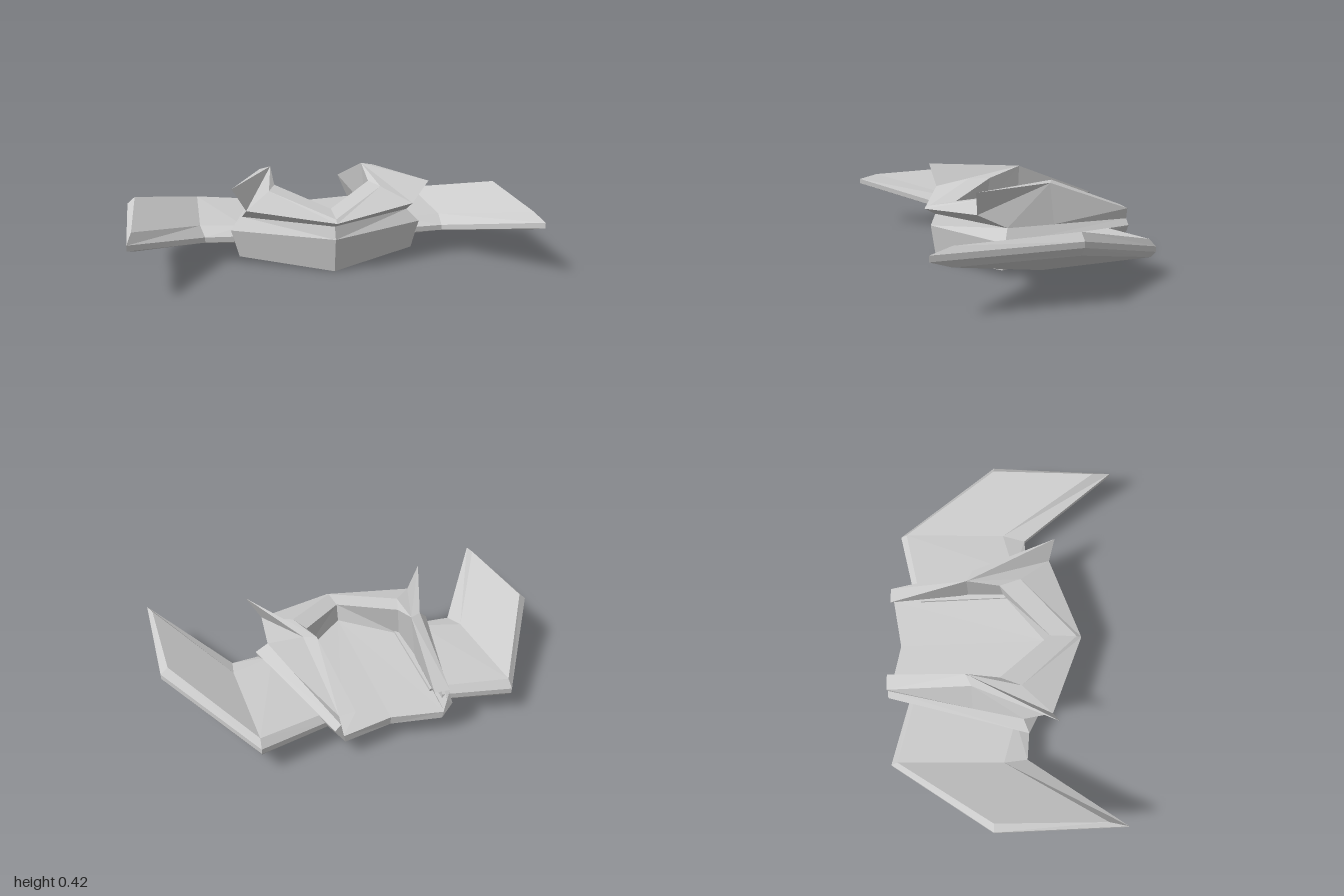
import * as THREE from 'three';

const material = new THREE.MeshStandardMaterial({ color: 0xcccccc, flatShading: true, side: THREE.DoubleSide });

// Mesh from flat convex polygons, each split into a fan; side = -1 mirrors it across x
function plates(name, polygons, side) {
  const pos = [];
  for (const p of polygons) {
    for (let i = 1; i < p.length - 1; i++) {
      const tri = side > 0 ? [p[0], p[i], p[i + 1]] : [p[0], p[i + 1], p[i]];
      for (const [x, y, z] of tri) pos.push(x * side, y, z);
    }
  }
  const geo = new THREE.BufferGeometry();
  geo.setAttribute('position', new THREE.Float32BufferAttribute(pos, 3));
  geo.computeVertexNormals();
  const mesh = new THREE.Mesh(geo, material);
  mesh.name = name;
  return mesh;
}

// Quads between neighbouring rows of points
function skin(rows, closed = false) {
  const quads = [];
  for (let r = 0; r < rows.length - 1; r++) {
    const n = rows[r].length;
    for (let i = 0; i < (closed ? n : n - 1); i++) {
      const j = (i + 1) % n;
      quads.push([rows[r][i], rows[r][j], rows[r + 1][j], rows[r + 1][i]]);
    }
  }
  return quads;
}

function hullHalf(side) {
  // Bottom edge, widest edge and bevel edge, from nose to side corner to rear
  const bottom = [[0, 0, 0.35], [0.45, 0.03, 0.13], [0.25, 0.09, -0.6]];
  const wide = [[0, 0.17, 0.375], [0.49, 0.17, 0.13], [0.3, 0.17, -0.6]];
  const bevel = [[0, 0.23, 0.35], [0.43, 0.23, 0.1], [0.27, 0.2, -0.6]];
  const keelRear = [0, 0.085, -0.55], deckRear = [0, 0.125, -0.55], deckCorner = [0.26, 0.125, -0.6];
  const deck = [[0, 0.2, 0.22], [0.27, 0.19, 0], [0.28, 0.17, -0.19], deckCorner, deckRear];
  const group = new THREE.Group();
  group.name = 'hullHalf';
  group.add(
    plates('hullShell', [
      ...skin([bottom, wide, bevel]),
      [keelRear, bottom[2], bottom[1], bottom[0]],
      [keelRear, deckRear, deckCorner, bottom[2]],
      [bottom[2], deckCorner, bevel[2], wide[2]],
    ], side),
    plates('deck', [deck], side)
  );

  // Overhanging lip above the nose
  const lipEdge = [[0, 0.26, 0.406], [0.42, 0.3, 0.245]];
  const lipFold = [[0, 0.275, 0.38], [0.29, 0.355, 0.09]];
  const lipInner = [[0, 0.29, 0.24], [0.25, 0.36, -0.02]];
  group.add(plates('noseLip', skin([bevel.slice(0, 2), lipEdge, lipFold, lipInner, deck.slice(0, 2)]), side));

  // Flared fin, hollow and open at the rear
  const tip = [0.49, 0.42, 0.27];
  const outer = [[0.28, 0.255, -0.6], [0.31, 0.415, -0.16]];
  const inner = [[0.2, 0.26, -0.6], [0.25, 0.42, -0.19]];
  const base = [0.372, 0.219, -0.16];
  group.add(plates('fin', [
    ...skin([outer, inner]),
    [inner[1], outer[1], tip],
    [inner[0], inner[1], deck[2], deckCorner],
    [inner[1], lipInner[1], deck[1], deck[2]],
    [inner[1], lipFold[1], lipInner[1]],
    [inner[1], tip, lipEdge[1], lipFold[1]],
    [outer[0], bevel[2], base, outer[1]],
    [outer[1], base, bevel[1]],
    [outer[1], bevel[1], lipEdge[1], tip],
  ], side));

  // Low rail along the foot of the fin
  const rail = new THREE.Mesh(new THREE.BoxGeometry(0.03, 0.03, 0.5), material);
  rail.name = 'deckRail';
  rail.position.set(0.265 * side, 0.165, -0.2);
  rail.rotation.x = -0.1;
  group.add(rail);
  return group;
}

function wing(side) {
  // Each outline: root front, bend front, tip front, tip back, bend back, root back
  const top = [[0.42, 0.17, 0.06], [0.64, 0.165, 0], [0.955, 0.3, 0.5],
    [0.962, 0.32, -0.05], [0.64, 0.18, -0.538], [0.3, 0.17, -0.46]];
  const rim = [[0.42, 0.125, 0.135], [0.62, 0.125, 0.12], [0.972, 0.26, 0.6],
    [1, 0.275, -0.05], [0.645, 0.13, -0.573], [0.3, 0.125, -0.49]];
  const rise = (d) => rim.map(([x, y, z]) => [x, y + d, z]);
  const under = [[0.42, 0.09, 0.1], [0.63, 0.07, 0], [0.95, 0.21, 0.5],
    [0.97, 0.22, -0.05], [0.64, 0.09, -0.55], [0.3, 0.09, -0.47]];
  const caps = [top, under].flatMap((p) => [[p[0], p[1], p[4], p[5]], [p[1], p[2], p[3], p[4]]]);
  return plates('wing', [...skin([top, rise(0.012), rise(-0.015), under], true), ...caps], side);
}

// Rectangular frame with a raised inner block under the wing
function underFrame(side) {
  const rect = (P, w, h) => new P([[-w, -h], [w, -h], [w, h], [-w, h]].map(([x, y]) => new THREE.Vector2(x, y)));
  const shape = rect(THREE.Shape, 0.07, 0.14);
  shape.holes.push(rect(THREE.Path, 0.045, 0.105));
  const group = new THREE.Group();
  group.name = 'underFrame';
  const ring = new THREE.Mesh(new THREE.ExtrudeGeometry(shape, { depth: 0.04, bevelEnabled: false }), material);
  ring.name = 'frameRing';
  ring.rotation.x = Math.PI / 2;
  ring.position.y = 0.04;
  const block = new THREE.Mesh(new THREE.BoxGeometry(0.05, 0.025, 0.16), material);
  block.name = 'frameBlock';
  block.position.y = 0.025;
  group.add(ring, block);
  group.position.set(0.49 * side, 0.063, -0.275);
  return group;
}

export function createModel() {
  const model = new THREE.Group();
  model.name = 'spacecraft';
  for (const side of [1, -1]) model.add(hullHalf(side), wing(side), underFrame(side));
  return model;
}
